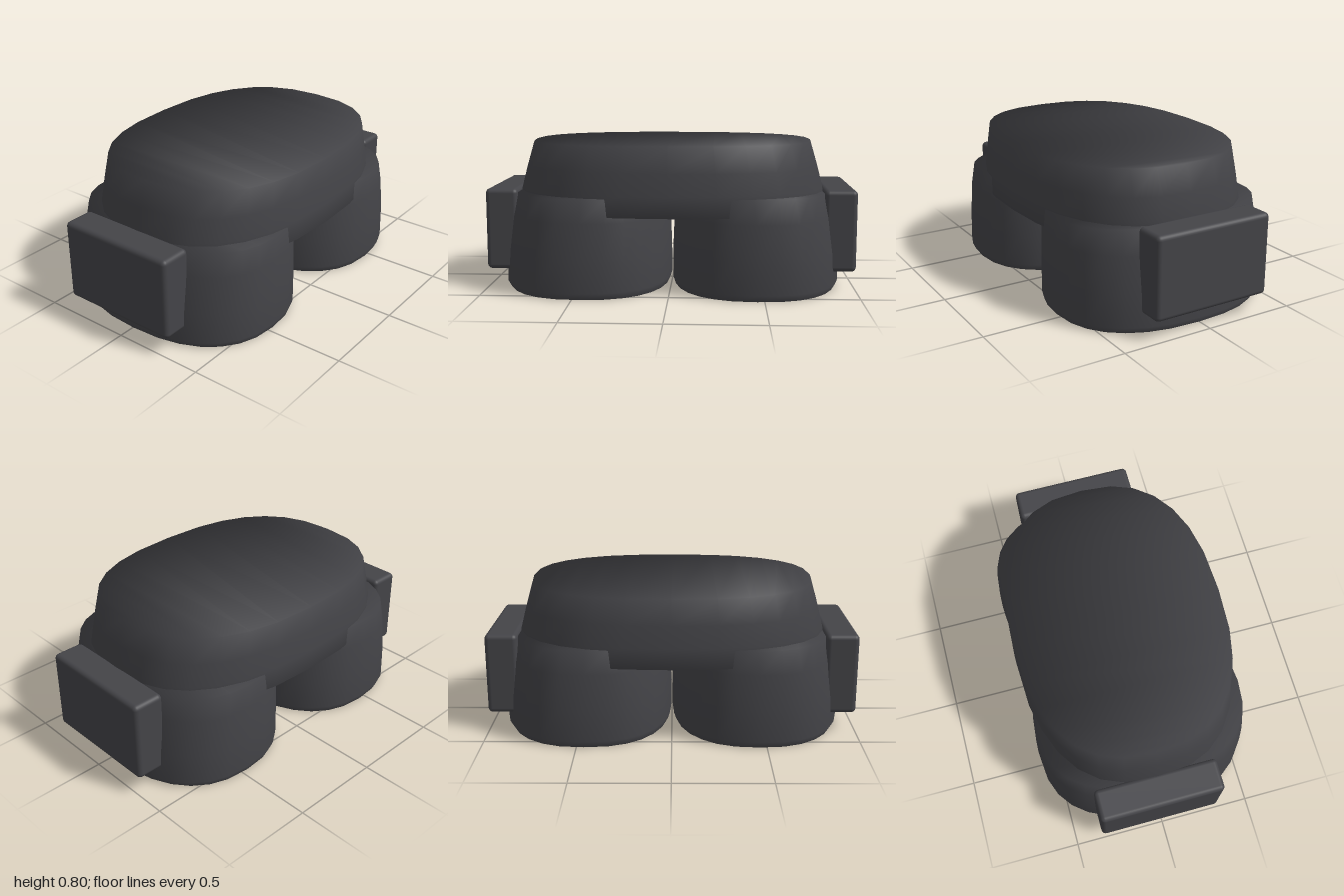
import * as THREE from 'three';
import { RoundedBoxGeometry } from 'three/addons/geometries/RoundedBoxGeometry.js';

const SEGMENTS = 28;

// Smooth closed loft through rounded-oval rings: [y, centreX, radiusX, radiusZ, normalY].
// The caps share the rim vertices, so the shading rolls over the edges.
function ovalLoft(rings, power) {
  const positions = [], normals = [], index = [];
  const curve = (v, e) => Math.sign(v) * Math.pow(Math.abs(v), e);
  for (const [y, cx, rx, rz, ny] of rings) {
    for (let i = 0; i < SEGMENTS; i++) {
      const t = (i / SEGMENTS) * Math.PI * 2;
      const ux = curve(Math.cos(t), 2 / power), uz = curve(Math.sin(t), 2 / power);
      positions.push(cx + rx * ux, y, rz * uz);
      const nx = curve(ux, power - 1) / rx, nz = curve(uz, power - 1) / rz;
      const h = Math.hypot(nx, nz);
      const n = new THREE.Vector3(nx / h, ny, nz / h).normalize();
      normals.push(n.x, n.y, n.z);
    }
  }
  // walls
  for (let r = 0; r < rings.length - 1; r++) {
    for (let i = 0; i < SEGMENTS; i++) {
      const a = r * SEGMENTS + i, b = r * SEGMENTS + (i + 1) % SEGMENTS;
      index.push(a, a + SEGMENTS, b, b, a + SEGMENTS, b + SEGMENTS);
    }
  }
  // caps, built as strips running front to back
  const top = (rings.length - 1) * SEGMENTS;
  for (let i = 0; i < SEGMENTS / 2; i++) {
    const p = i, q = i + 1, s = SEGMENTS - i - 1, w = (SEGMENTS - i) % SEGMENTS;
    for (const [u, v, k] of [[q, p, w], [q, w, s]]) {
      if (u === v || v === k || u === k) continue;
      index.push(top + u, top + v, top + k, k, v, u);
    }
  }
  const geometry = new THREE.BufferGeometry();
  geometry.setAttribute('position', new THREE.Float32BufferAttribute(positions, 3));
  geometry.setAttribute('normal', new THREE.Float32BufferAttribute(normals, 3));
  geometry.setIndex(index);
  return geometry;
}

export function createModel() {
  const group = new THREE.Group();
  const charcoal = new THREE.MeshStandardMaterial({ color: 0x444448 });
  charcoal.name = 'charcoal';

  const add = (name, geometry) => {
    const mesh = new THREE.Mesh(geometry, charcoal);
    mesh.name = name;
    group.add(mesh);
    return mesh;
  };

  // tapered waist above both legs
  add('waist', ovalLoft([
    [0.43, 0, 0.85, 0.583, -0.3],
    [0.54, 0, 0.842, 0.581, 0.08],
    [0.66, 0, 0.81, 0.575, 0.15],
    [0.795, 0, 0.77, 0.565, 0.45],
  ], 2.5));

  for (const side of [1, -1]) {
    const label = side > 0 ? 'left' : 'right';

    // stubby leg: inner and outer x of each ring, then depth
    const legRings = [
      [0, 0.015, 0.91, 0.573, -0.45],
      [0.035, 0.003, 0.93, 0.588, -0.05],
      [0.2, 0.004, 0.922, 0.587, 0.03],
      [0.4, 0.012, 0.895, 0.58, 0.1],
      [0.525, 0.02, 0.865, 0.567, 0.35],
    ].map(([y, inner, outer, rz, ny]) =>
      [y, side * (inner + outer) / 2, (outer - inner) / 2, rz, ny]);
    add(label + 'Leg', ovalLoft(legRings, 2.4));

    // boxy pouch on the outer side
    const pouch = add(label + 'Pouch', new RoundedBoxGeometry(0.175, 0.44, 0.675, 3, 0.025));
    pouch.position.set(side * 0.9125, 0.325, -0.015);
  }
  return group;
}
